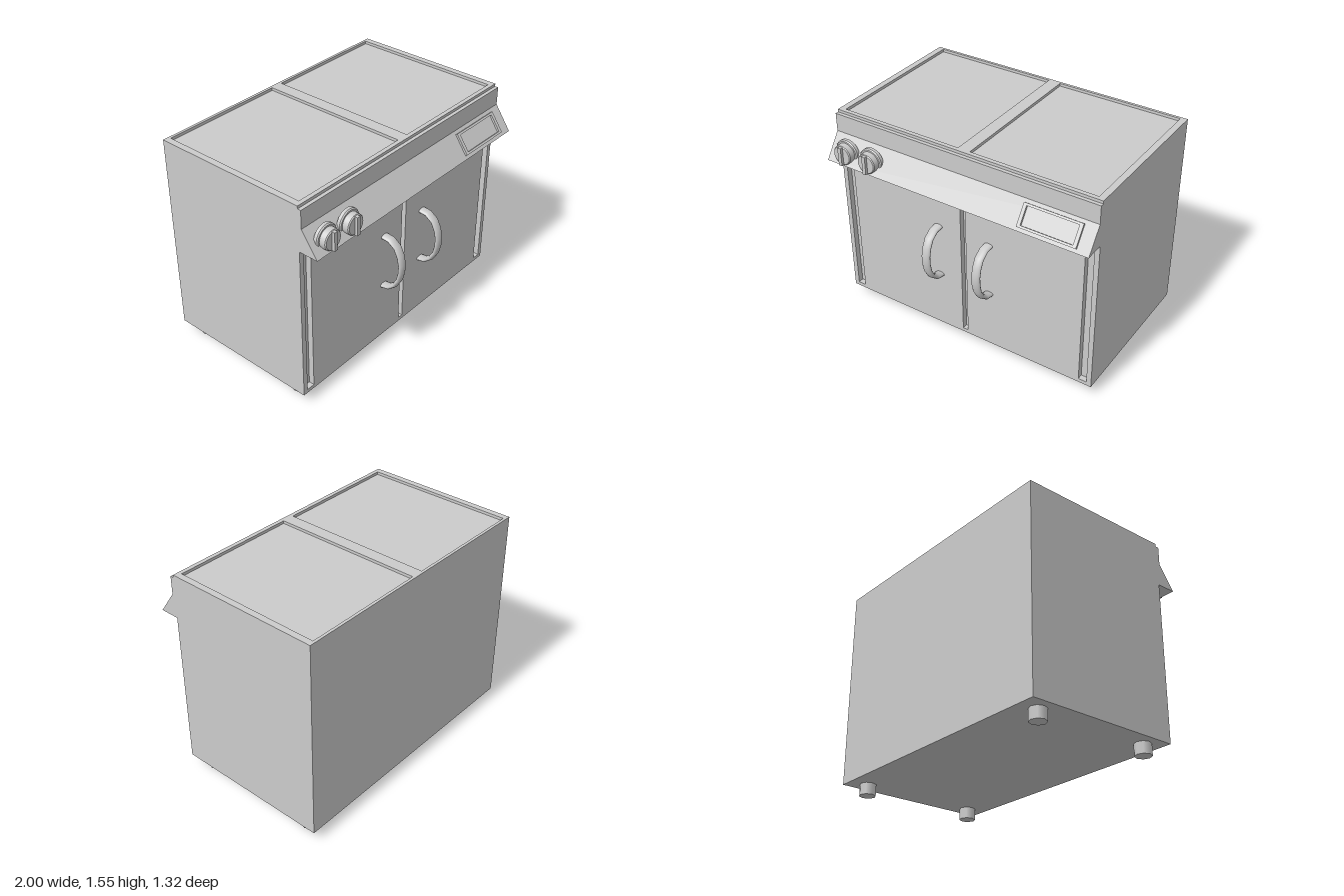
import * as THREE from 'three';

const grey = new THREE.MeshStandardMaterial({ color: 0xcccccc });

function add(parent, name, geometry, x = 0, y = 0, z = 0) {
  const mesh = new THREE.Mesh(geometry, grey);
  mesh.name = name;
  mesh.position.set(x, y, z);
  parent.add(mesh);
  return mesh;
}

// Flat plate with rectangular openings; rectangles are [x0, y0, x1, y1]
function plate(outer, holes, depth) {
  const corners = ([x0, y0, x1, y1]) =>
    [[x0, y0], [x1, y0], [x1, y1], [x0, y1]].map(([x, y]) => new THREE.Vector2(x, y));
  const shape = new THREE.Shape(corners(outer));
  holes.forEach((h) => shape.holes.push(new THREE.Path(corners(h))));
  return new THREE.ExtrudeGeometry(shape, { depth, bevelEnabled: false });
}

function createKnob() {
  const knob = new THREE.Group();
  knob.name = 'knob';
  // Stepped round body, hard edges made by repeating profile corners
  const profile = [
    [0, 0], [0.09, 0], [0.09, 0], [0.09, 0.022], [0.09, 0.022], [0.083, 0.03], [0.083, 0.03],
    [0.072, 0.03], [0.072, 0.03], [0.07, 0.07], [0.07, 0.07], [0.064, 0.077], [0.064, 0.077], [0, 0.077],
  ].map(([r, h]) => new THREE.Vector2(r, h));
  add(knob, 'knobBody', new THREE.LatheGeometry(profile, 28).rotateX(Math.PI / 2));
  add(knob, 'knobGrip', new THREE.BoxGeometry(0.026, 0.132, 0.06), 0, 0, 0.067);
  return knob;
}

export function createModel() {
  const model = new THREE.Group();
  model.name = 'cooker';

  // Cabinet core
  add(model, 'cabinet', new THREE.BoxGeometry(2, 1.448, 1.11), 0, 0.806, -0.105);

  // Front with the vertical grooves around the two doors
  const grooves = [[-0.965, 0.11, -0.905, 1.19], [-0.02, 0.11, 0.02, 1.19], [0.905, 0.11, 0.965, 1.19]];
  add(model, 'doorFront', plate([-1, 0.082, 1, 1.53], grooves, 0.04), 0, 0, 0.45);

  // Top rim around two shallow cooking plates
  const wells = [[-0.955, -0.455, -0.045, 0.64], [0.045, -0.455, 0.955, 0.64]];
  const rim = plate([-1, -0.485, 1, 0.66], wells, 0.02).rotateX(-Math.PI / 2);
  add(model, 'topRim', rim, 0, 1.53, 0);

  // Control fascia: straight band above a sloping panel, extruded along x
  const fascia = new THREE.Shape([[-0.49, 1.23], [-0.49, 1.53], [-0.51, 1.53], [-0.51, 1.4], [-0.63, 1.23]]
    .map(([x, y]) => new THREE.Vector2(x, y)));
  const fasciaGeometry = new THREE.ExtrudeGeometry(fascia, { depth: 2, bevelEnabled: false })
    .rotateY(Math.PI / 2);
  add(model, 'controlFascia', fasciaGeometry, -1, 0, 0);

  // Framed display lying on the sloping panel
  const frame = plate([-0.208, -0.079, 0.208, 0.079], [[-0.183, -0.063, 0.183, 0.063]], 0.015);
  add(model, 'displayFrame', frame, 0.702, 1.315, 0.57).rotation.x = -Math.atan2(0.12, 0.17);

  // Knobs
  for (const x of [-0.865, -0.662]) {
    const knob = createKnob();
    knob.position.set(x, 1.31, 0.56);
    model.add(knob);
  }

  // Bowed door handles with an oval section
  const path = new THREE.CatmullRomCurve3([
    [0.915, 0.48], [0.912, 0.535], [0.88, 0.59], [0.79, 0.633], [0.69, 0.638],
    [0.585, 0.605], [0.52, 0.53], [0.515, 0.48],
  ].map(([y, z]) => new THREE.Vector3(0, y, z)));
  const handle = new THREE.TubeGeometry(path, 9, 0.017, 14).scale(1.95, 1, 1);
  for (const x of [-0.2, 0.2]) add(model, 'doorHandle', handle, x);

  // Feet
  const foot = new THREE.CylinderGeometry(0.058, 0.058, 0.09, 8);
  for (const x of [-0.89, 0.89]) {
    for (const z of [0.353, -0.525]) add(model, 'foot', foot, x, 0.045, z);
  }

  return model;
}
